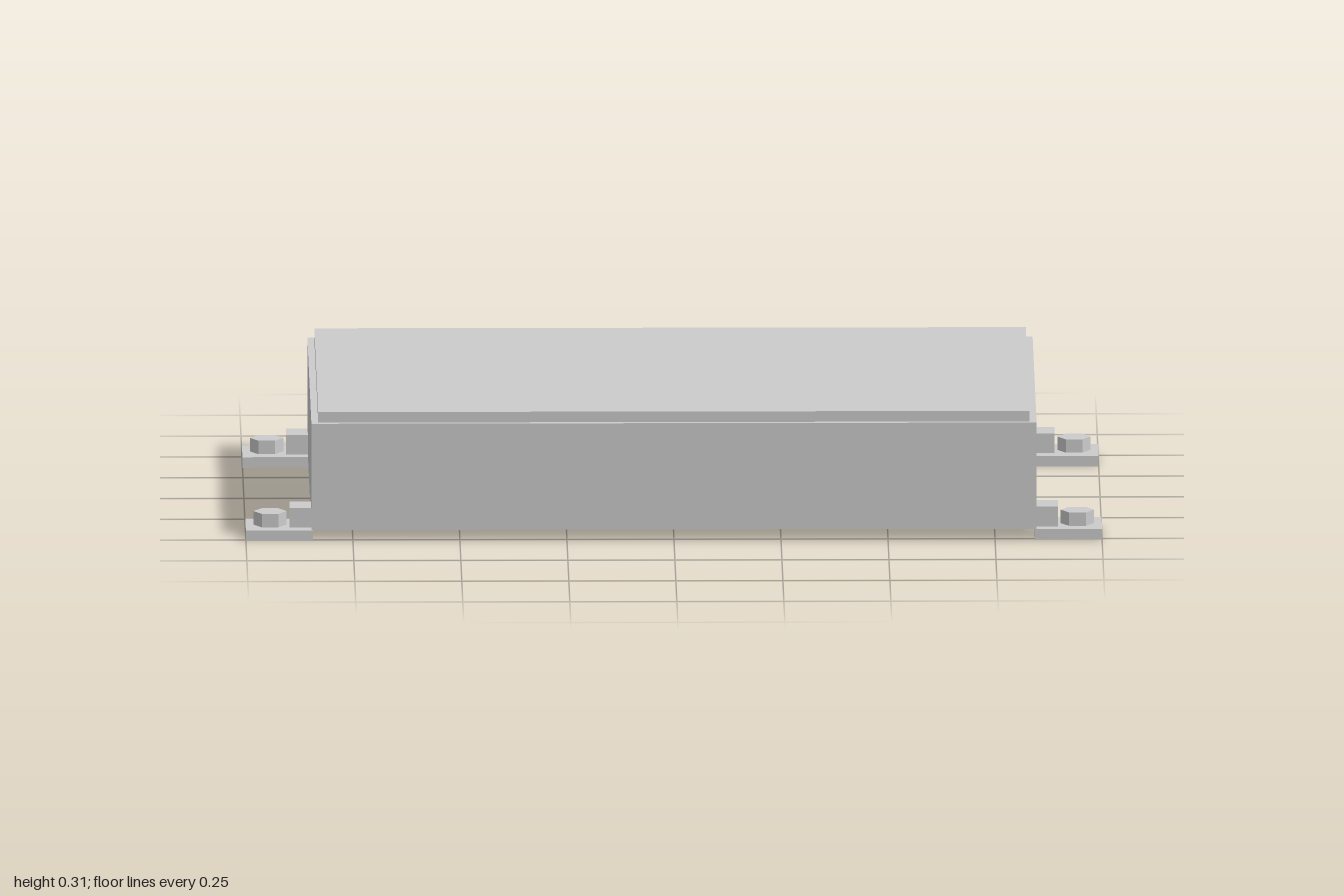
import * as THREE from 'three';

const material = new THREE.MeshStandardMaterial({ color: 0xcccccc, flatShading: true });

function add(parent, name, geometry, x, y, z) {
  const mesh = new THREE.Mesh(geometry, material);
  mesh.name = name;
  mesh.position.set(x, y, z);
  parent.add(mesh);
  return mesh;
}

// Box given by its size, its bottom height and its centre in x and z
function addBox(parent, name, w, h, d, x, bottom, z) {
  return add(parent, name, new THREE.BoxGeometry(w, h, d), x, bottom + h / 2, z);
}

export function createModel() {
  const model = new THREE.Group();
  model.name = 'enclosure';

  // Main housing and the slightly smaller lid on top
  addBox(model, 'housing', 1.694, 0.253, 1.036, 0, 0.027, 0);
  addBox(model, 'lid', 1.662, 0.025, 1.008, 0, 0.28, 0);

  // Four mounting feet, one at each corner
  for (const sx of [-1, 1]) {
    for (const sz of [-1, 1]) {
      const foot = new THREE.Group();
      foot.name = (sz > 0 ? 'front' : 'back') + (sx > 0 ? 'Left' : 'Right') + 'Foot';
      foot.position.z = sz * 0.44;
      model.add(foot);

      addBox(foot, 'footPlate', 0.157, 0.025, 0.142, sx * 0.9215, 0, 0);
      addBox(foot, 'footBlock', 0.055, 0.047, 0.078, sx * 0.87, 0.025, 0);

      // Hexagonal bolt head with corners pointing along x
      const hex = new THREE.CylinderGeometry(0.039, 0.039, 0.032, 6).rotateY(Math.PI / 6);
      add(foot, 'boltHead', hex, sx * 0.943, 0.041, 0);
    }
  }
  return model;
}
